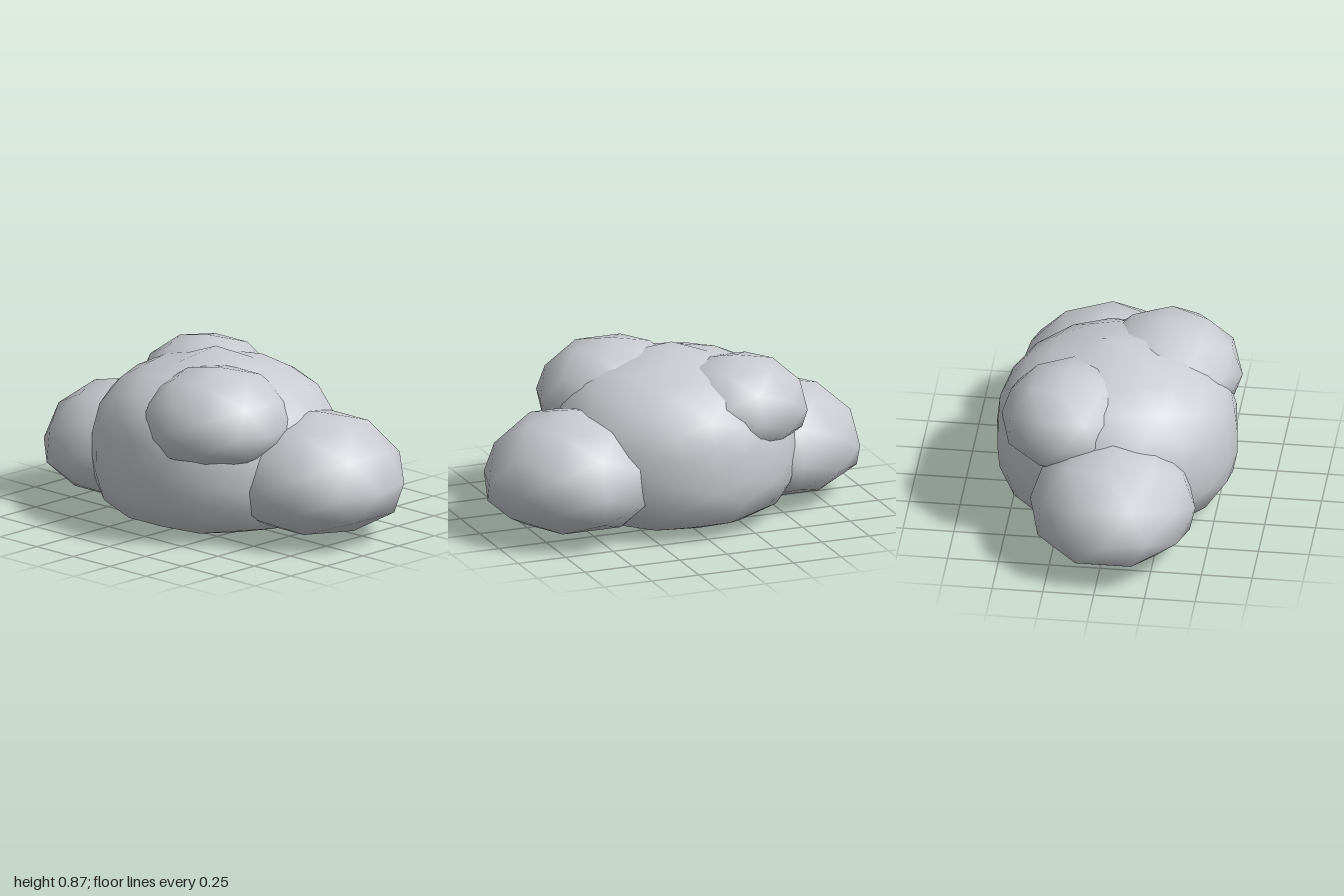
import * as THREE from 'three';
import { mergeVertices } from 'three/addons/utils/BufferGeometryUtils.js';

// A rounded puff: domed above its centre, flattened and boxier below it, with an optional raised tip
function puff(name, material, { at, rx, rz, up, down, detail = 1, topPower = 2.05, basePower = 3, tip = 0 }) {
  let geometry = new THREE.IcosahedronGeometry(1, detail);
  geometry.deleteAttribute('normal');
  geometry.deleteAttribute('uv');
  geometry = mergeVertices(geometry, 1e-4);
  const pos = geometry.attributes.position;
  for (let i = 0; i < pos.count; i++) {
    const x = pos.getX(i), y = pos.getY(i), z = pos.getZ(i);
    const n = y < 0 ? basePower : topPower;
    const r = Math.hypot(x, z);
    const s = Math.pow(Math.pow(r, n) + Math.pow(Math.abs(y), n), -1 / n);
    const height = y < 0 ? y * s * down : y * s * up + tip * Math.max(0, 1 - r / 0.25);
    pos.setXYZ(i, x * s * rx, height, z * s * rz);
  }
  geometry.computeVertexNormals();
  const mesh = new THREE.Mesh(geometry, material);
  mesh.name = name;
  mesh.position.set(...at);
  return mesh;
}

export function createModel() {
  const group = new THREE.Group();
  group.name = 'cloud';
  const cloudGrey = new THREE.MeshStandardMaterial({ color: 0xc8cbd0 });
  cloudGrey.name = 'cloud grey';

  group.add(
    // Large middle body with broad shoulders and a flat base
    puff('mainPuff', cloudGrey, { at: [-0.01, 0.36, -0.005], rx: 0.622, rz: 0.592, up: 0.445, down: 0.36, detail: 3, topPower: 2.4, basePower: 3.8, tip: 0.06 }),
    // Low puffs at each side
    puff('leftPuff', cloudGrey, { at: [0.56, 0.285, -0.125], rx: 0.442, rz: 0.437, up: 0.337, down: 0.237 }),
    puff('rightPuff', cloudGrey, { at: [-0.56, 0.265, 0.04], rx: 0.442, rz: 0.407, up: 0.328, down: 0.22 }),
    // Small puffs high on the front and back
    puff('upperFrontPuff', cloudGrey, { at: [0.215, 0.565, 0.215], rx: 0.378, rz: 0.37, up: 0.282, down: 0.21, basePower: 2.4 }),
    puff('upperBackPuff', cloudGrey, { at: [-0.27, 0.56, -0.21], rx: 0.357, rz: 0.333, up: 0.268, down: 0.2, basePower: 2.4 }),
  );
  return group;
}
